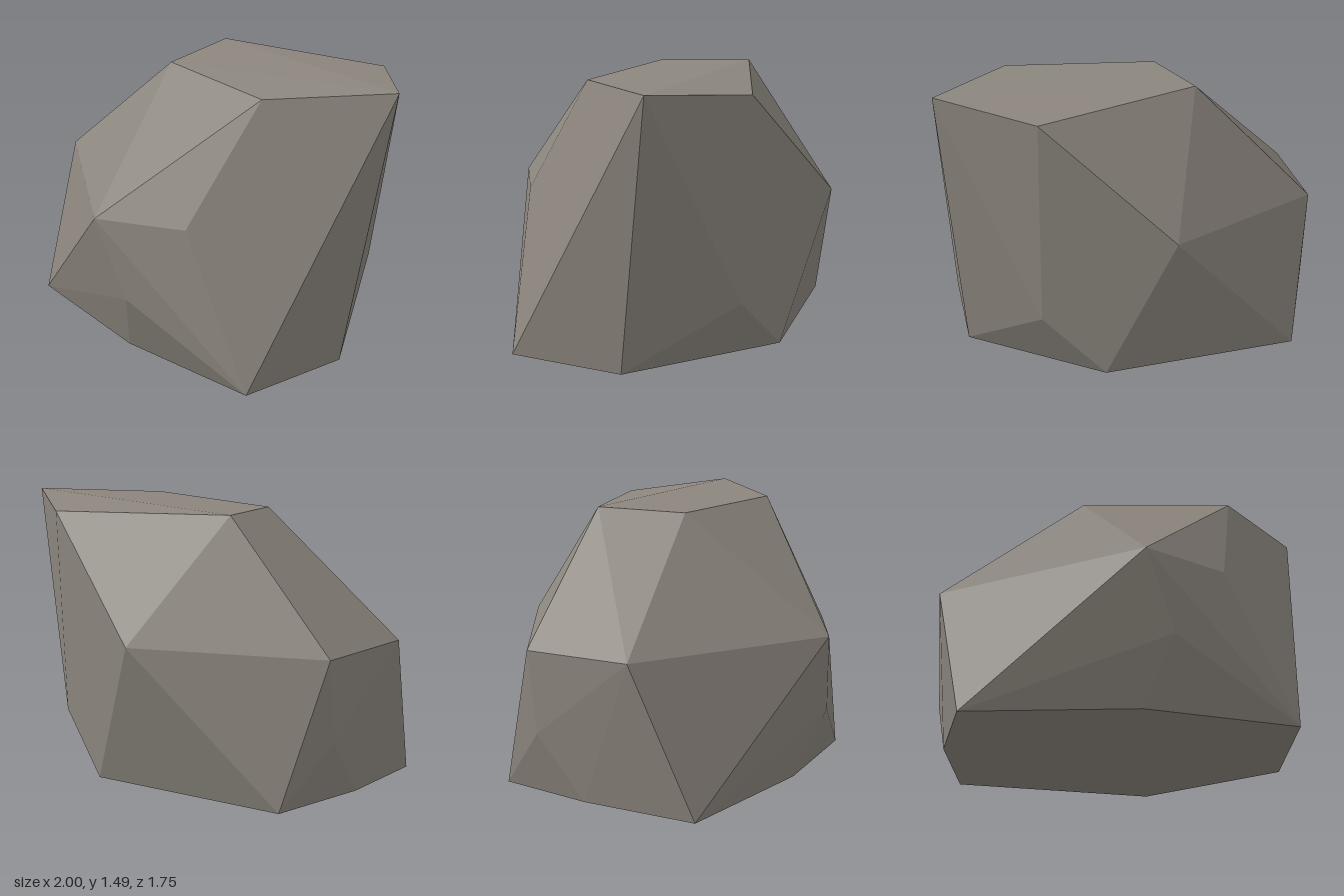
import * as THREE from 'three';
import { ConvexGeometry } from 'three/addons/geometries/ConvexGeometry.js';

// Corners of the boulder, ring by ring from the top down: [x, y, z]
const crown = [
  [0.52, 1.44, -0.69], [1.0, 1.49, -0.33], [0.57, 1.455, 0.2],
  [-0.24, 1.44, 0.16], [-0.36, 1.455, -0.31],
];
const shoulder = [
  [-0.15, 0.83, -0.88], [-1.0, 0.79, -0.31], [-1.0, 0.79, 0.3],
  [0.04, 0.81, 0.87], [0.47, 0.82, 0.61],
];
const flank = [[0.19, 0.38, 0.79], [-0.995, 0.36, -0.26], [0.51, 0.35, -0.64]];
const foot = [
  [0.85, 0.01, 0.52], [0.85, 0.0, -0.12], [0.19, 0.05, -0.73], [-0.87, 0.03, -0.55],
  [-0.95, 0.03, 0.0], [-0.87, 0.0, 0.61], [0.04, 0.02, 0.67],
];

export function createModel() {
  const stone = new THREE.MeshStandardMaterial({ color: 0x8c867e });
  stone.name = 'warmGreyStone';

  // Faceted convex boulder; every facet carries its own flat normal
  const corners = [...crown, ...shoulder, ...flank, ...foot].map((c) => new THREE.Vector3(...c));
  const boulder = new THREE.Mesh(new ConvexGeometry(corners), stone);
  boulder.name = 'boulder';

  const model = new THREE.Group();
  model.name = 'rock';
  model.add(boulder);
  return model;
}
